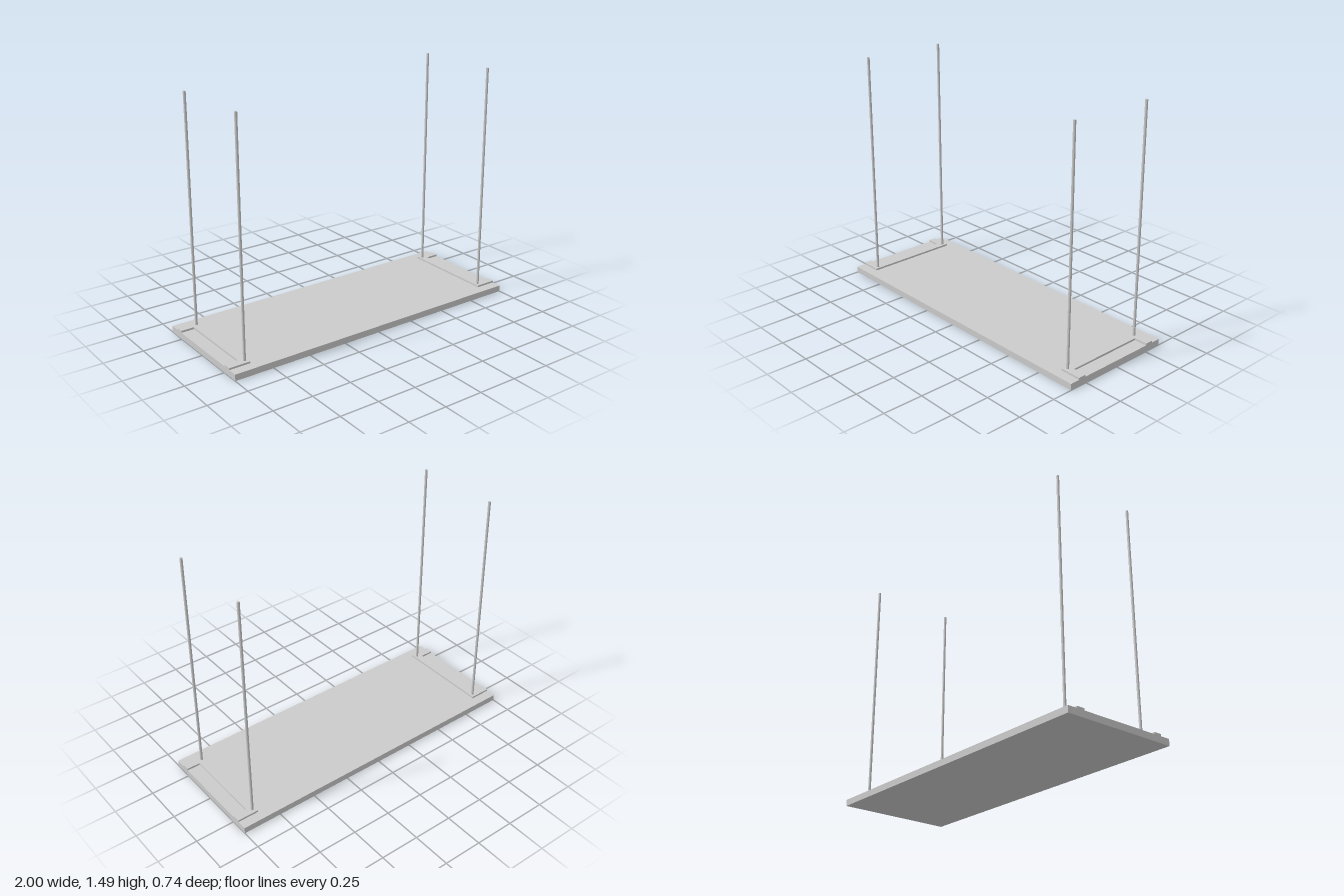
import * as THREE from 'three';

export function createModel() {
  const model = new THREE.Group();
  const material = new THREE.MeshStandardMaterial({ color: 0xcccccc, flatShading: true });
  const add = (name, geometry, parent = model) => {
    const mesh = new THREE.Mesh(geometry, material);
    mesh.name = name;
    parent.add(mesh);
    return mesh;
  };

  const boardTop = 0.04, bracketTop = 0.052, rodTop = 1.485;

  // Flat seat board
  add('seatBoard', new THREE.BoxGeometry(2, boardTop, 0.735)).position.y = boardTop / 2;

  // C-shaped bracket outline, open towards the end of the board
  const outline = new THREE.Shape([
    [1, -0.305], [1, -0.255], [0.915, -0.255], [0.915, 0.255],
    [1, 0.255], [1, 0.305], [0.865, 0.305], [0.865, -0.305],
  ].map(([x, z]) => new THREE.Vector2(x, z)));
  const bracket = new THREE.ExtrudeGeometry(outline, { depth: bracketTop - boardTop, bevelEnabled: false });
  bracket.rotateX(-Math.PI / 2).translate(0, boardTop, 0);

  // Slim hanging rod
  const rodLength = rodTop - boardTop;
  const rod = new THREE.CylinderGeometry(0.0085, 0.0085, rodLength, 12);

  // One bracket with two rods at each end
  for (const [side, turn] of [['left', 0], ['right', Math.PI]]) {
    const end = new THREE.Group();
    end.name = side + 'Hanger';
    end.rotation.y = turn;
    add(side + 'Bracket', bracket, end);
    for (const z of [-0.278, 0.278]) {
      const front = (z > 0) === (turn === 0);
      add(side + (front ? 'Front' : 'Back') + 'Rod', rod, end)
        .position.set(0.886, boardTop + rodLength / 2, z);
    }
    model.add(end);
  }
  return model;
}
